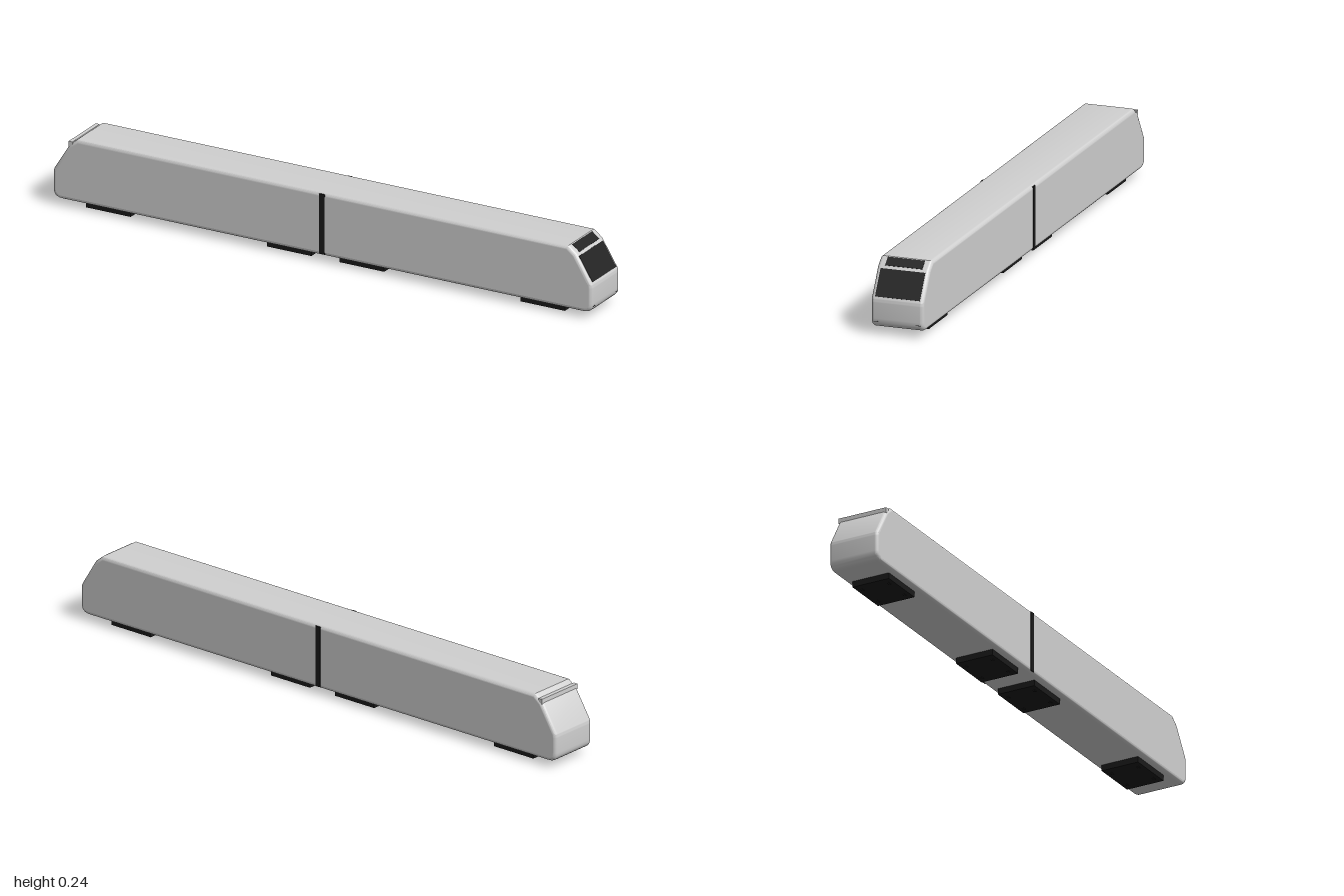
import * as THREE from 'three';
import { toCreasedNormals } from 'three/addons/utils/BufferGeometryUtils.js';

const paint = (name, color) => Object.assign(new THREE.MeshStandardMaterial({ color }), { name });

export function createModel() {
  const silver = paint('silver bodywork', 0xd0d0d0);
  const glass = paint('dark glass', 0x222222);
  const black = paint('black running gear', 0x1a1a1a);
  const model = new THREE.Group();
  model.name = 'railcar';

  const add = (name, geometry, material, x = 0, y = 0, z = 0, parent = model) => {
    const mesh = new THREE.Mesh(geometry, material);
    mesh.name = name;
    mesh.position.set(x, y, z);
    parent.add(mesh);
    return mesh;
  };
  const box = (name, material, w, h, d, x, y, z, parent) =>
    add(name, new THREE.BoxGeometry(w, h, d), material, x, y, z, parent);

  // Body: side profile with sloped ends, extruded across the width with rounded edges
  const s = new THREE.Shape();
  s.moveTo(-0.965, 0.023);
  s.lineTo(0.965, 0.023);
  s.quadraticCurveTo(1, 0.023, 1, 0.055);
  s.lineTo(1, 0.108);
  s.quadraticCurveTo(1, 0.119, 0.995, 0.127);
  s.lineTo(0.94, 0.216);
  s.lineTo(0.91, 0.24);
  s.lineTo(-0.91, 0.24);
  s.lineTo(-0.94, 0.216);
  s.lineTo(-0.995, 0.127);
  s.quadraticCurveTo(-1, 0.119, -1, 0.108);
  s.lineTo(-1, 0.055);
  s.quadraticCurveTo(-1, 0.023, -0.965, 0.023);
  const bevel = 0.012;
  const raw = new THREE.ExtrudeGeometry(s, {
    depth: 0.18 - 2 * bevel, bevelEnabled: true, bevelThickness: bevel,
    bevelSize: bevel, bevelOffset: -bevel, bevelSegments: 5, curveSegments: 6,
  });
  raw.translate(0, 0, -0.09 + bevel);
  const body = toCreasedNormals(raw, 0.5);
  // Keep the flat side walls evenly shaded
  const pos = body.attributes.position;
  for (let i = 0; i < raw.groups[0].count; i++) {
    body.attributes.normal.setXYZ(i, 0, 0, Math.sign(pos.getZ(i)));
  }
  body.clearGroups();
  add('body', body, silver);

  // Thin plates lying on the sloped nose
  const nosePlate = (name, x0, y0, x1, y1, width) => {
    const length = Math.hypot(x1 - x0, y1 - y0);
    const plate = box(name, glass, length, 0.006, width, (x0 + x1) / 2, (y0 + y1) / 2, 0);
    plate.rotation.z = Math.atan2(y1 - y0, x1 - x0);
    plate.translateY(-0.002);
  };
  nosePlate('windshield', 0.945, 0.208, 0.995, 0.127, 0.154);
  nosePlate('destinationPanel', 0.9125, 0.238, 0.939, 0.2168, 0.128);

  // Lamp edges low on the nose
  for (const z of [-0.072, 0.072]) box('lampEdge', glass, 0.006, 0.0015, 0.016, 0.9968, 0.045, z);

  // Ridge across the top of the tail slope
  box('tailRidge', silver, 0.014, 0.018, 0.176, -0.934, 0.22, 0);

  // Joint between the two halves
  box('centreJoint', black, 0.02, 0.208, 0.182, 0, 0.132, 0);

  // Bogies with wheels barely showing below
  for (const x of [-0.805, -0.135, 0.135, 0.805]) {
    const bogie = new THREE.Group();
    bogie.name = 'bogie';
    bogie.position.x = x;
    model.add(bogie);
    box('bogieFrame', black, 0.165, 0.027, 0.135, 0, 0.0165, 0, bogie);
    for (const wx of [-0.05, 0.05]) for (const wz of [-0.049, 0.049]) {
      const wheel = add('wheel', new THREE.CylinderGeometry(0.018, 0.018, 0.007, 20), black, wx, 0.018, wz, bogie);
      wheel.rotation.x = Math.PI / 2;
    }
  }
  return model;
}
